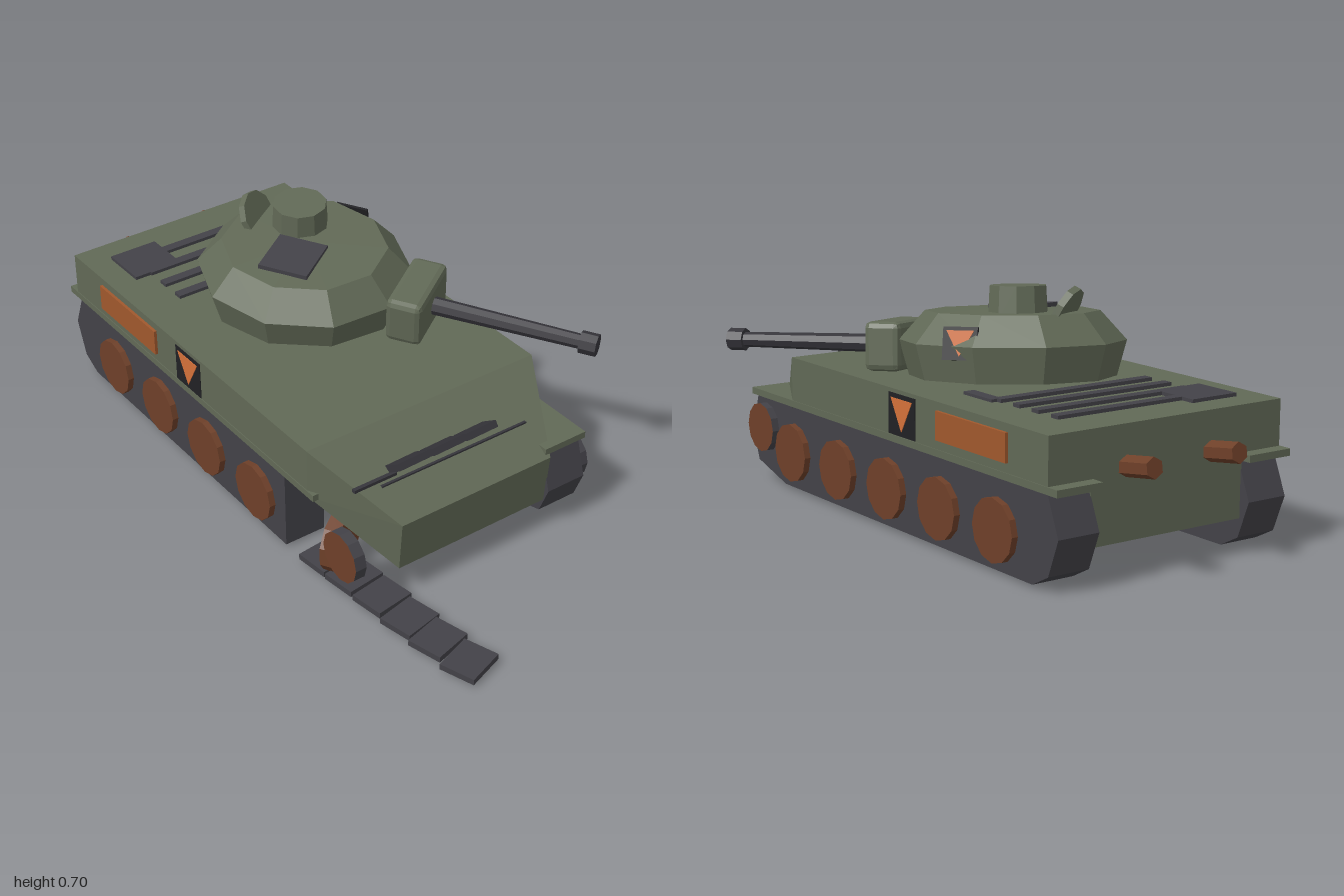
import * as THREE from 'three';
import { RoundedBoxGeometry } from 'three/addons/geometries/RoundedBoxGeometry.js';
import { ConvexGeometry } from 'three/addons/geometries/ConvexGeometry.js';

const mat = (name, color) => {
  const m = new THREE.MeshStandardMaterial({ color, flatShading: true });
  m.name = name;
  return m;
};

export function createModel() {
  const green = mat('armour green', 0x616956);
  const grey = mat('track grey', 0x434248);
  const gunGrey = mat('gun grey', 0x36353b);
  const black = mat('black', 0x212124);
  const brown = mat('rusty brown', 0x6e4029);
  const rust = mat('light rust', 0xa0582d);
  const orange = mat('orange', 0xd4713a);

  const model = new THREE.Group();
  model.name = 'tank';
  const cx = -0.07; // hull centre line

  const add = (name, geo, material, pos = [0, 0, 0], rot = [0, 0, 0], parent = model) => {
    const m = new THREE.Mesh(geo, material);
    m.name = name;
    m.position.set(...pos);
    m.rotation.set(...rot);
    parent.add(m);
    return m;
  };
  const box = (name, size, material, pos, rot, parent) =>
    add(name, new THREE.BoxGeometry(...size), material, pos, rot, parent);

  // Hull body, with a rear plate reaching down between the tracks
  box('upperHull', [0.78, 0.15, 1.25], green, [cx, 0.335, -0.265]);
  box('rearPlate', [0.51, 0.16, 0.02], green, [cx, 0.18, -0.88]);

  // Sloped bow, tapering to a narrow nose, its underside rising to the rear
  const bow = [];
  for (const s of [-1, 1]) {
    bow.push(
      new THREE.Vector3(cx + s * 0.39, 0.41, 0.36),
      new THREE.Vector3(cx + s * 0.39, 0.26, 0.36),
      new THREE.Vector3(cx + s * 0.257, 0.255, 0.61),
      new THREE.Vector3(cx + s * 0.255, 0.1, 0.595));
  }
  add('bow', new ConvexGeometry(bow), green);

  // Fenders; the right one is broken off at the front
  const fender = (x, front) =>
    box('fender', [0.145, 0.02, front + 0.93], green, [x, 0.27, (front - 0.93) / 2]);
  fender(0.25, 0.6);
  fender(-0.39, 0.39);

  // Tracks: side outline extruded across; the right one is cut short
  const track = (x, outline) => {
    const shape = new THREE.Shape(outline.map(([z, y]) => new THREE.Vector2(z, y)));
    const geo = new THREE.ExtrudeGeometry(shape, { depth: 0.13, bevelEnabled: false });
    geo.rotateY(-Math.PI / 2);
    geo.translate(x + 0.065, 0, 0);
    add('track', geo, grey);
  };
  const rear = [[-0.88, 0.258], [-0.925, 0.15], [-0.885, 0.045], [-0.82, 0.01]];
  track(0.248, [...rear, [0.42, 0.01], [0.58, 0.055], [0.615, 0.14], [0.58, 0.258]]);
  track(-0.388, [...rear, [0.24, 0.01], [0.24, 0.258]]);

  // Road wheels and front sprockets
  const wheelGeo = new THREE.CylinderGeometry(0.088, 0.088, 0.04, 12).rotateZ(Math.PI / 2);
  const sprocketGeo = new THREE.CylinderGeometry(0.075, 0.075, 0.035, 12).rotateZ(Math.PI / 2);
  for (const s of [-1, 1]) {
    for (let i = 0; i < 5; i++) {
      if (s < 0 && i === 0) continue;
      add('roadWheel', wheelGeo, brown, [cx + s * 0.382, 0.12, 0.36 - i * 0.2575]);
    }
    add('sprocket', sprocketGeo, [grey, brown, brown], [cx + s * 0.388, 0.168, 0.53]);
  }
  // Wheel that has come off
  add('looseWheel', new THREE.CylinderGeometry(0.09, 0.09, 0.045, 10).rotateX(Math.PI / 2),
    brown, [-0.378, 0.09, 0.395], [0, 0.53, 0]);

  // Track links lying on the ground
  const links = [[-0.395, 0.36, 0.1], [-0.385, 0.47, 0.12], [-0.375, 0.585, 0.14],
    [-0.368, 0.7, 0.2], [-0.358, 0.81, 0.25], [-0.345, 0.925, 0.33]];
  for (const [x, z, a] of links) box('looseLink', [0.12, 0.018, 0.105], grey, [x, 0.019, z], [0, a, 0]);

  // Side markings: triangle badge and rust patch
  const triangle = (w, h) => new THREE.ExtrudeGeometry(new THREE.Shape([
    new THREE.Vector2(-w / 2, h / 2), new THREE.Vector2(0, -h / 2), new THREE.Vector2(w / 2, h / 2),
  ]), { depth: 0.004, bevelEnabled: false });
  const badge = (parent, pos, side, size, lean = 0) => {
    const g = new THREE.Group();
    g.name = 'badge';
    g.position.set(...pos);
    g.rotation.set(-lean, side * Math.PI / 2, 0, 'YXZ');
    box('badgePlate', [size, size * 0.9, 0.008], black, [0, 0, 0], [0, 0, 0], g);
    add('badgeTriangle', triangle(size * 0.8, size * 0.7), orange, [0, 0, 0.002], [0, 0, 0], g);
    parent.add(g);
  };
  for (const s of [-1, 1]) {
    badge(model, [cx + s * 0.388, 0.34, -0.235], s, 0.13);
    box('rustPatch', [0.009, 0.08, 0.315], rust, [cx + s * 0.3945, 0.347, -0.565]);
  }

  // Engine deck: grille bars, hatch and strip
  for (let i = 0; i < 4; i++)
    box('grilleBar', [0.52, 0.014, 0.03], grey, [-0.07, 0.413, -0.745 + i * 0.082]);
  box('deckHatch', [0.155, 0.018, 0.15], grey, [-0.303, 0.411, -0.728]);
  box('deckStrip', [0.035, 0.012, 0.13], grey, [0.19, 0.412, -0.43]);

  // Exhaust pipes
  for (const x of [-0.215, 0.07])
    add('exhaust', new THREE.CylinderGeometry(0.029, 0.029, 0.14, 6), brown,
      [x, 0.305, -0.93], [-Math.PI / 2 + 0.15, 0, 0]);

  // Spare links and rails on the sloped bow plate
  for (let i = 0; i < 3; i++)
    box('spareLink', [0.104, 0.02, 0.07], gunGrey, [-0.225 + i * 0.117, 0.355, 0.495], [-0.6, 0, 0.02]);
  box('bowRail', [0.5, 0.01, 0.01], gunGrey, [-0.07, 0.317, 0.505]);
  box('brokenRail', [0.14, 0.01, 0.012], gunGrey, [-0.33, 0.33, 0.49]);

  // Turret, knocked askew
  const tilt = new THREE.Group();
  tilt.name = 'turret';
  tilt.position.set(-0.021, 0.423, -0.278);
  tilt.rotation.set(0.085, 0, 0.05);
  model.add(tilt);
  const turret = new THREE.Group();
  turret.name = 'turretBody';
  turret.rotation.y = 0.57;
  tilt.add(turret);
  const onTurret = (name, geo, material, pos, rot) => add(name, geo, material, pos, rot, turret);

  // Shell is slightly longer than it is wide
  const profile = [[0, 0], [0.285, 0], [0.312, 0.1], [0.24, 0.182], [0, 0.19]]
    .map(([r, y]) => new THREE.Vector2(r, y));
  const shell = new THREE.LatheGeometry(profile, 10).rotateY(Math.PI / 10).scale(0.95, 1, 1.03);
  onTurret('turretShell', shell, green);

  // Mantlet and gun
  onTurret('mantlet', new RoundedBoxGeometry(0.24, 0.14, 0.11, 1, 0.018), green, [-0.01, 0.078, 0.354]);
  onTurret('barrel', new THREE.CylinderGeometry(0.022, 0.027, 0.46, 8).rotateX(Math.PI / 2), gunGrey, [-0.01, 0.078, 0.629]);
  onTurret('muzzle', new THREE.CylinderGeometry(0.033, 0.033, 0.05, 8).rotateX(Math.PI / 2), gunGrey, [-0.01, 0.078, 0.874]);

  // Cupola with its lid thrown open behind it, and the roof hatch
  onTurret('cupola', new THREE.CylinderGeometry(0.08, 0.085, 0.09, 10), green, [0.085, 0.212, -0.05]);
  onTurret('cupolaLid', new THREE.CylinderGeometry(0.075, 0.075, 0.02, 10), green,
    [0.07, 0.186, -0.182], [Math.PI / 2 - 0.5, 0, 0]);
  onTurret('roofHatch', new THREE.BoxGeometry(0.16, 0.014, 0.15), grey, [-0.085, 0.19, 0]);

  // Turret side badge, half sunk in the armour
  badge(turret, [0.27, 0.108, 0.045], 1, 0.1, 0.15);

  return model;
}
